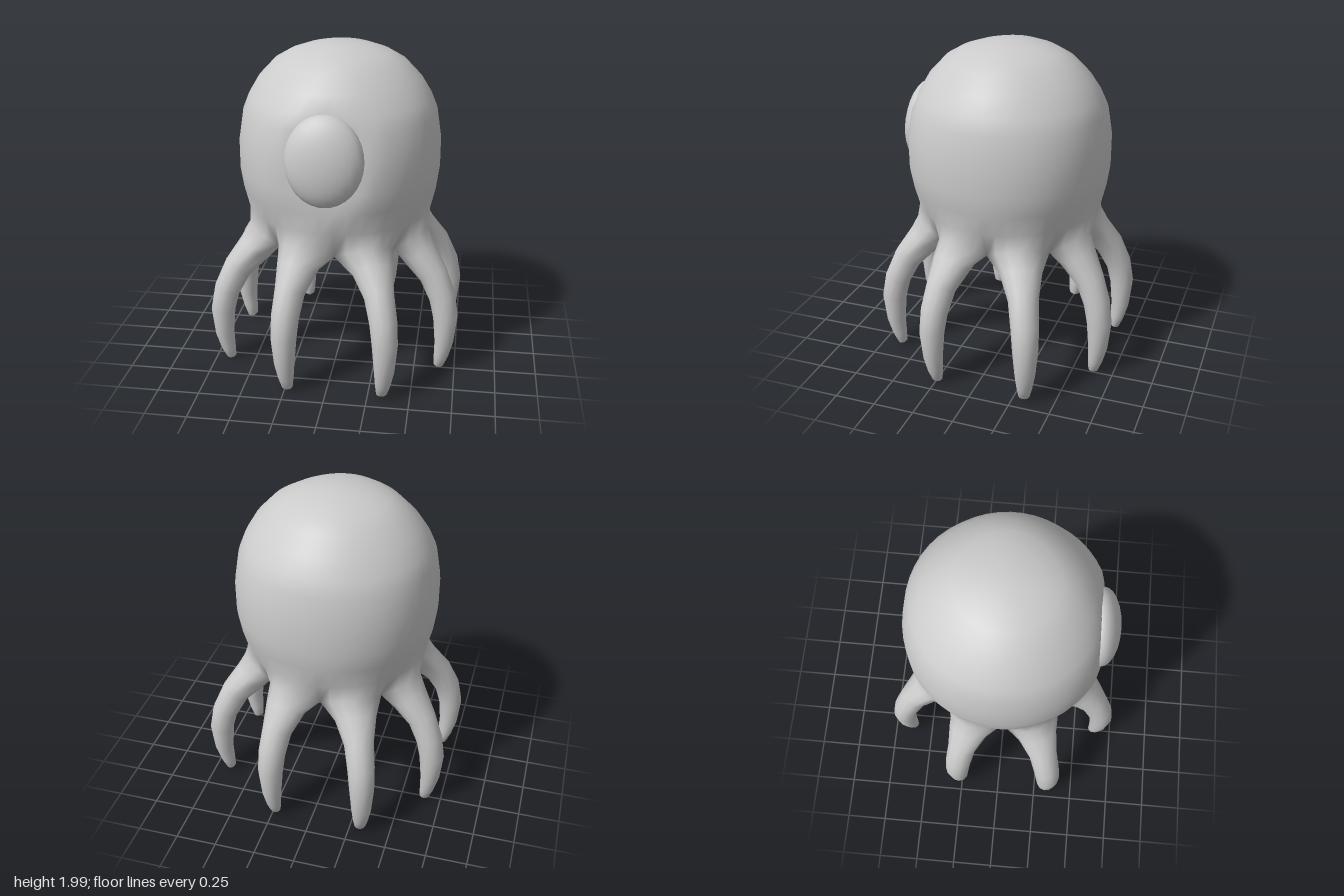
import * as THREE from 'three';
import { mergeVertices } from 'three/addons/utils/BufferGeometryUtils.js';

const material = new THREE.MeshStandardMaterial({ color: 0xcccccc });
const { lerp, degToRad, smoothstep } = THREE.MathUtils;
const STEPS = 6; // columns across the outside (and the inside) of each tentacle

// Profiles as [distance from axis, height], top to bottom
const dome = [
  [0, 2], [0.1, 1.994], [0.2, 1.976], [0.3, 1.942], [0.39, 1.89], [0.485, 1.79],
  [0.545, 1.69], [0.58, 1.6], [0.606, 1.43], [0.606, 1.25], [0.59, 1.13], [0.56, 1],
];
const cavity = [[0, 1.06], [0.2, 1.06], [0.34, 1.03], [0.39, 0.95]];

// Tentacle sections: distance from axis, height, half width, half thickness
const sections = [
  [0.485, 0.83, 0.19, 0.12], [0.55, 0.755, 0.125, 0.1], [0.65, 0.64, 0.09, 0.088],
  [0.72, 0.5, 0.083, 0.08], [0.748, 0.37, 0.077, 0.075], [0.745, 0.2, 0.062, 0.058],
  [0.728, 0.1, 0.048, 0.045], [0.712, 0.03, 0.035, 0.03], [0.708, 0.01, 0, 0],
];

// Tentacle directions in degrees from +x towards +z, and how far each spreads
const tentacles = [
  [20.5, 0.93], [62, 0.99], [110.5, 0.82], [154.5, 1.06],
  [201.5, 0.92], [243.5, 0.95], [290.7, 0.82], [334.2, 1.05],
];

const polar = (r, y, angle) => [r * Math.cos(angle), y, r * Math.sin(angle)];

// Stretch of ring between two directions: fuller on the diagonals at mid height,
// rounder near the crown, with the face side slightly flattened
function arc([r, y], from, to) {
  const fullness = 0.022 * smoothstep(y, 1, 1.25) - 0.06 * smoothstep(y, 1.5, 1.9);
  return Array.from({ length: STEPS + 1 }, (_, j) => {
    const angle = lerp(from, to, j / STEPS);
    const point = polar(r * (1 + fullness * Math.sin(2 * angle) ** 2), y, angle);
    if (y < 1.75) point[2] = Math.min(point[2], 0.53 + (1.7 - y) * 0.09);
    return point;
  });
}

// Closed loops down one tentacle; the first fills its whole share of the rim
function tentacleLoops(angle, reach, lo, hi) {
  return sections.map(([r, y, w, t], i) => {
    const a = sections[Math.max(i - 1, 0)];
    const b = sections[Math.min(i + 1, sections.length - 1)];
    const normal = new THREE.Vector2(a[1] - b[1], b[0] - a[0]).normalize();
    const spread = sections[0][0] + (r - sections[0][0]) * reach;
    return Array.from({ length: STEPS * 2 + 1 }, (_, j) => {
      const phi = (Math.PI * j) / STEPS;
      const out = Math.sin(phi) * t;
      const radius = spread + normal.x * out, height = y + normal.y * out;
      if (i === 0) return polar(radius, height, lerp(hi, lo, 1 - Math.abs(1 - j / STEPS)));
      const across = Math.cos(phi) * w;
      const [x, , z] = polar(radius, height, angle);
      return [x - Math.sin(angle) * across, height, z + Math.cos(angle) * across];
    });
  });
}

// Head and tentacles form one continuous skin, made sector by sector
function skinGeometry() {
  const positions = [], index = [];
  const addSheet = (rows) => {
    const start = positions.length / 3, width = rows[0].length;
    rows.forEach((row, i) => row.forEach((point, j) => {
      positions.push(...point);
      if (i === rows.length - 1 || j === width - 1) return;
      const k = start + i * width + j, below = k + width;
      index.push(k, below, k + 1, below, below + 1, k + 1);
    }));
  };

  const count = tentacles.length;
  const direction = (i) =>
    degToRad(tentacles[(i + count) % count][0] + 360 * Math.floor(i / count));
  tentacles.forEach(([, reach], i) => {
    const lo = (direction(i - 1) + direction(i)) / 2;
    const hi = (direction(i) + direction(i + 1)) / 2;
    const loops = tentacleLoops(direction(i), reach, lo, hi);
    // Dome outside, hollow inside, both ending on the root of the tentacle
    addSheet([...dome.map((p) => arc(p, hi, lo)), loops[0].slice(0, STEPS + 1)]);
    addSheet([...cavity.map((p) => arc(p, lo, hi)), loops[0].slice(STEPS)]);
    addSheet(loops);
  });

  const geometry = new THREE.BufferGeometry();
  geometry.setAttribute('position', new THREE.Float32BufferAttribute(positions, 3));
  geometry.setIndex(index);
  const welded = mergeVertices(geometry, 1e-4);
  welded.computeVertexNormals();
  return welded;
}

export function createModel() {
  const model = new THREE.Group();
  model.name = 'octopus';

  const skin = new THREE.Mesh(skinGeometry(), material);
  skin.name = 'headAndTentacles';

  // Single bulging eye, leaning back with the face
  const eye = new THREE.Mesh(new THREE.SphereGeometry(1, 24, 16), material);
  eye.name = 'eye';
  eye.scale.set(0.226, 0.265, 0.11);
  eye.position.set(-0.015, 1.435, 0.555);
  eye.rotation.x = -0.09;

  model.add(skin, eye);
  return model;
}
